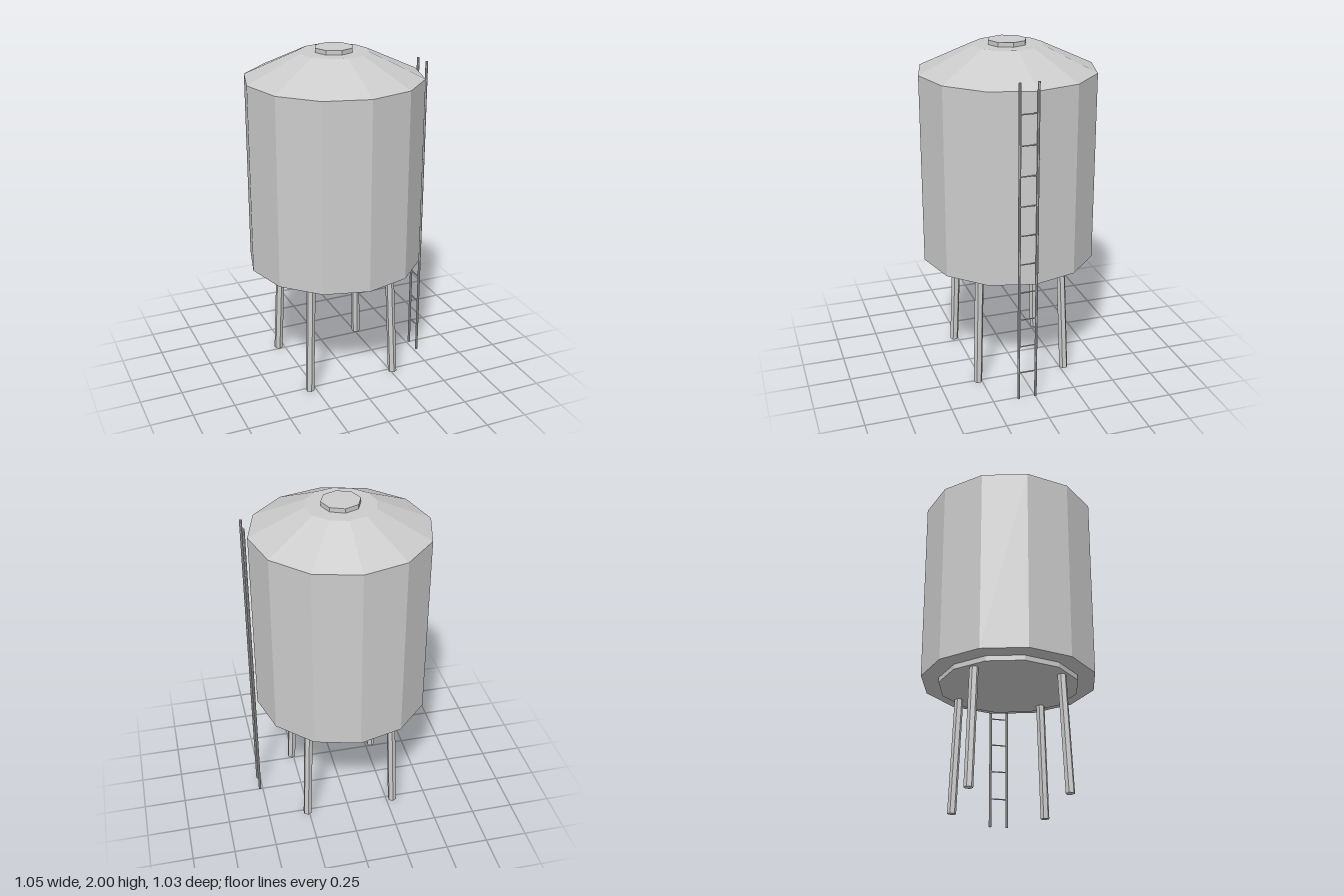
import * as THREE from 'three';

const material = new THREE.MeshStandardMaterial({ color: 0xcccccc, flatShading: true });

function add(parent, name, geometry) {
  const mesh = new THREE.Mesh(geometry, material);
  mesh.name = name;
  parent.add(mesh);
  return mesh;
}

// Upright faceted drum between two heights
function drum(parent, name, rTop, rBottom, y0, y1, sides) {
  const mesh = add(parent, name, new THREE.CylinderGeometry(rTop, rBottom, y1 - y0, sides));
  mesh.position.y = (y0 + y1) / 2;
  return mesh;
}

// Round bar running from point a to point b
function bar(parent, name, a, b, radius, sides) {
  const dir = b.clone().sub(a);
  const mesh = add(parent, name, new THREE.CylinderGeometry(radius, radius, dir.length(), sides));
  mesh.position.copy(a).add(b).multiplyScalar(0.5);
  mesh.quaternion.setFromUnitVectors(new THREE.Vector3(0, 1, 0), dir.normalize());
  return mesh;
}

export function createModel() {
  const model = new THREE.Group();
  model.name = 'waterTower';

  // Tank with its base, conical roof and hatch
  const tower = new THREE.Group();
  tower.name = 'tower';
  tower.position.x = -0.0135;
  model.add(tower);
  drum(tower, 'basePlate', 0.41, 0.41, 0.69, 0.722, 12);
  drum(tower, 'tank', 0.513, 0.513, 0.72, 1.83, 12);
  drum(tower, 'roof', 0.2, 0.513, 1.83, 1.975, 12);
  drum(tower, 'hatch', 0.112, 0.112, 1.972, 2, 8);

  // Four splayed legs
  for (const sx of [-1, 1]) {
    for (const sz of [-1, 1]) {
      bar(tower, 'leg',
        new THREE.Vector3(sx * 0.274, 0.003, sz * 0.274),
        new THREE.Vector3(sx * 0.25, 0.7, sz * 0.25), 0.026, 6);
    }
  }

  // Ladder on the left side
  const ladder = new THREE.Group();
  ladder.name = 'ladder';
  ladder.position.x = 0.518;
  model.add(ladder);
  for (const z of [0, 0.103]) {
    bar(ladder, 'rail', new THREE.Vector3(0, 0.005, z), new THREE.Vector3(0, 1.888, z), 0.008, 8);
  }
  for (let i = 0; i < 10; i++) {
    const y = 0.177 + i * 0.1713;
    bar(ladder, 'rung', new THREE.Vector3(0, y, 0), new THREE.Vector3(0, y, 0.103), 0.004, 6);
  }
  return model;
}
